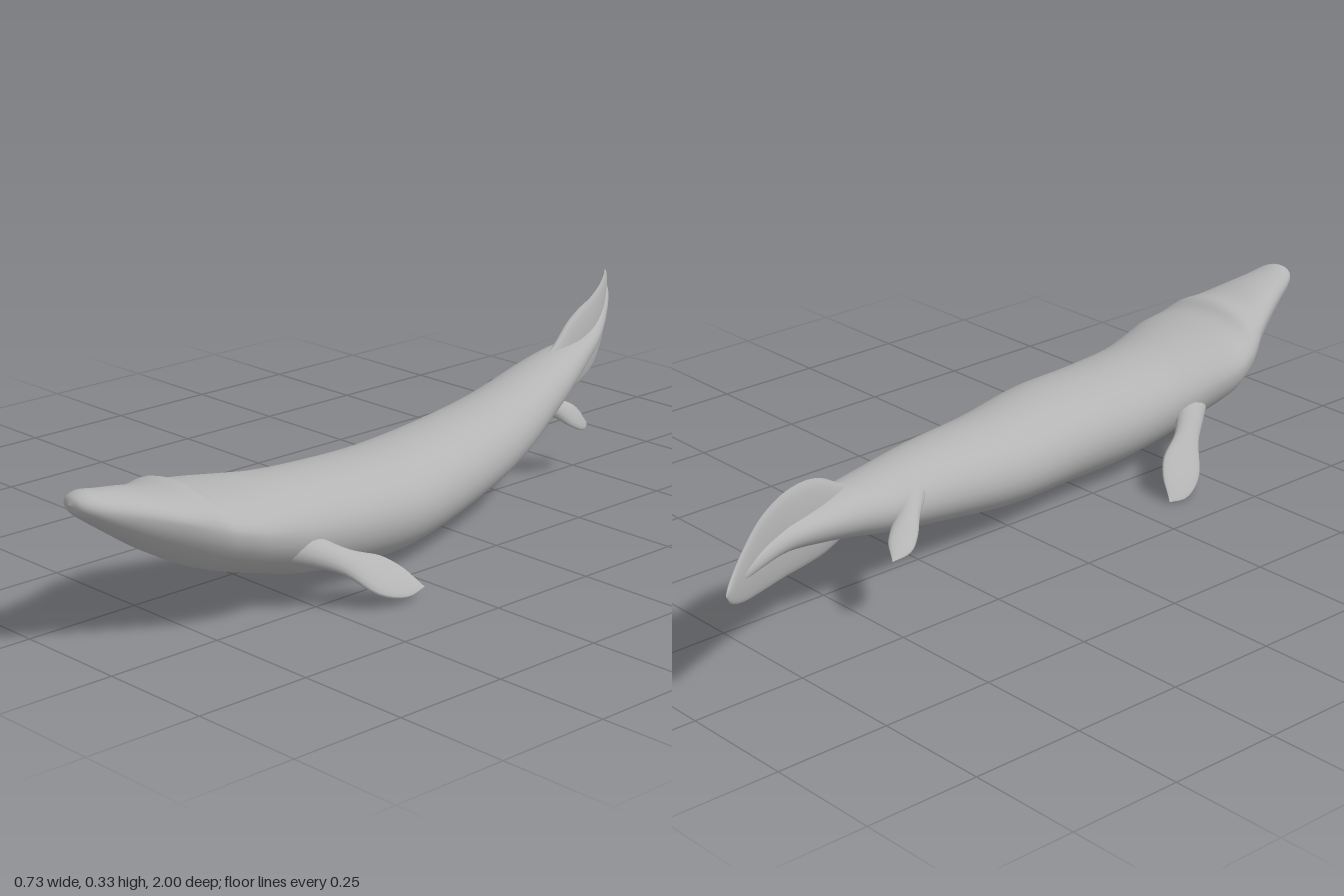
import * as THREE from 'three';

const V = (x, y, z) => new THREE.Vector3(x, y, z);
const smooth = pts => new THREE.CatmullRomCurve3(pts, false, 'catmullrom', 0.5);

// Skin over rings; section(t) gives centre c, side axis u, upper axis v and lower axis d
function loft(section, rings, sides) {
  const pos = [], index = [];
  for (let i = 0; i <= rings; i++) {
    const { c, u, v, d } = section(i / rings);
    for (let j = 0; j < sides; j++) {
      const a = j / sides * Math.PI * 2, s = Math.sin(a);
      const p = c.clone().addScaledVector(u, Math.cos(a));
      if (s >= 0) p.addScaledVector(v, s); else p.addScaledVector(d, -s);
      pos.push(p.x, p.y, p.z);
      if (i === rings) continue;
      const k = (j + 1) % sides, A = i * sides + j, B = i * sides + k;
      index.push(A, B, A + sides, B, B + sides, A + sides);
    }
  }
  const g = new THREE.BufferGeometry();
  g.setAttribute('position', new THREE.Float32BufferAttribute(pos, 3));
  g.setIndex(index);
  g.computeVertexNormals();
  return g;
}

// Upright loft from rows of [z, centre x, half width, widest y, top y, bottom y]
function spineLoft(rows, rings, sides) {
  const mid = smooth(rows.map(r => V(r[1], r[3], r[0])));
  const size = smooth(rows.map(r => V(r[2], r[4] - r[3], r[3] - r[5])));
  return loft(t => {
    const c = mid.getPoint(t), s = size.getPoint(t);
    return { c, u: V(-Math.max(s.x, 0), 0, 0), v: V(0, Math.max(s.y, 0), 0), d: V(0, -Math.max(s.z, 0), 0) };
  }, rings, sides);
}

// Flat paddle along a path, facing the given normal; widths are half chords
function paddle(path, normal, widths, thick) {
  const curve = smooth(path.map(p => V(...p)));
  const w = smooth(widths.map((x, i) => V(x, thick[i], 0)));
  return loft(t => {
    const dir = curve.getTangent(t);
    const u = normal.clone().cross(dir).normalize();
    const v = dir.clone().cross(u).normalize();
    const s = w.getPoint(t);
    v.multiplyScalar(Math.max(s.y, 0));
    return { c: curve.getPoint(t), u: u.multiplyScalar(Math.max(s.x, 0)), v, d: v.clone().negate() };
  }, 20, 16);
}

export function createModel() {
  const model = new THREE.Group();
  const skin = new THREE.MeshStandardMaterial({ color: 0xb4b4b4, side: THREE.DoubleSide });
  skin.name = 'grey skin';
  const add = (name, geometry) => {
    const m = new THREE.Mesh(geometry, skin);
    m.name = name;
    model.add(m);
  };

  // Head, trunk and tapering tail core
  add('body', spineLoft([
    [1.0, 0.14, 0.0, 0.3, 0.3, 0.3],
    [0.99, 0.14, 0.028, 0.298, 0.315, 0.28],
    [0.965, 0.14, 0.046, 0.29, 0.321, 0.26],
    [0.92, 0.138, 0.062, 0.275, 0.312, 0.228],
    [0.86, 0.136, 0.087, 0.256, 0.3, 0.186],
    [0.8, 0.133, 0.115, 0.237, 0.287, 0.15],
    [0.75, 0.126, 0.14, 0.217, 0.288, 0.122],
    [0.71, 0.122, 0.155, 0.202, 0.27, 0.104],
    [0.65, 0.118, 0.167, 0.186, 0.26, 0.083],
    [0.56, 0.116, 0.153, 0.16, 0.248, 0.055],
    [0.48, 0.115, 0.145, 0.14, 0.238, 0.033],
    [0.35, 0.114, 0.146, 0.125, 0.23, 0.016],
    [0.2, 0.11, 0.145, 0.12, 0.227, 0.015],
    [0.0, 0.07, 0.13, 0.125, 0.226, 0.032],
    [-0.2, 0.03, 0.11, 0.15, 0.236, 0.07],
    [-0.4, -0.032, 0.086, 0.188, 0.25, 0.125],
    [-0.5, -0.062, 0.068, 0.207, 0.257, 0.155],
    [-0.6, -0.095, 0.046, 0.222, 0.257, 0.182],
    [-0.7, -0.137, 0.031, 0.238, 0.264, 0.21],
    [-0.8, -0.2, 0.022, 0.254, 0.276, 0.234],
    [-0.9, -0.275, 0.013, 0.274, 0.287, 0.26],
    [-0.97, -0.338, 0.0, 0.288, 0.288, 0.288],
  ], 105, 36));

  // Tall thin blade around the tail core
  add('tailFin', spineLoft([
    [-0.44, -0.044, 0.0, 0.2, 0.245, 0.15],
    [-0.5, -0.062, 0.014, 0.207, 0.268, 0.148],
    [-0.56, -0.081, 0.017, 0.216, 0.302, 0.14],
    [-0.62, -0.102, 0.017, 0.226, 0.32, 0.142],
    [-0.7, -0.137, 0.015, 0.238, 0.327, 0.154],
    [-0.8, -0.2, 0.013, 0.254, 0.327, 0.18],
    [-0.9, -0.278, 0.01, 0.274, 0.317, 0.22],
    [-0.97, -0.338, 0.007, 0.29, 0.307, 0.262],
    [-1.0, -0.365, 0.0, 0.296, 0.296, 0.296],
  ], 40, 20));

  // Front flippers: thick shoulder, broad blade, pointed tip
  const frontWidths = [0.05, 0.034, 0.03, 0.047, 0.034, 0];
  const frontThick = [0.04, 0.026, 0.016, 0.011, 0.006, 0];
  add('leftFrontFlipper', paddle([[0.2, 0.14, 0.56], [0.255, 0.115, 0.505], [0.29, 0.09, 0.455],
    [0.321, 0.058, 0.4], [0.343, 0.034, 0.35], [0.357, 0.02, 0.31]], V(0.7, 0.7, 0), frontWidths, frontThick));
  add('rightFrontFlipper', paddle([[0.02, 0.14, 0.56], [-0.03, 0.115, 0.515], [-0.068, 0.088, 0.47],
    [-0.108, 0.05, 0.415], [-0.138, 0.02, 0.37], [-0.153, 0.003, 0.335]], V(-0.7, 0.7, 0), frontWidths, frontThick));

  // Small hind flippers
  const hindWidths = [0.034, 0.024, 0.028, 0.024, 0];
  const hindThick = [0.028, 0.017, 0.011, 0.007, 0];
  add('leftHindFlipper', paddle([[-0.02, 0.18, -0.37], [0.02, 0.158, -0.415], [0.036, 0.136, -0.45],
    [0.034, 0.116, -0.485], [0.022, 0.1, -0.52]], V(0.75, 0.6, 0.1), hindWidths, hindThick));
  add('rightHindFlipper', paddle([[-0.07, 0.195, -0.33], [-0.115, 0.18, -0.37], [-0.15, 0.163, -0.41],
    [-0.177, 0.148, -0.445], [-0.197, 0.137, -0.48]], V(-0.35, 0.9, 0), hindWidths, hindThick));

  return model;
}
